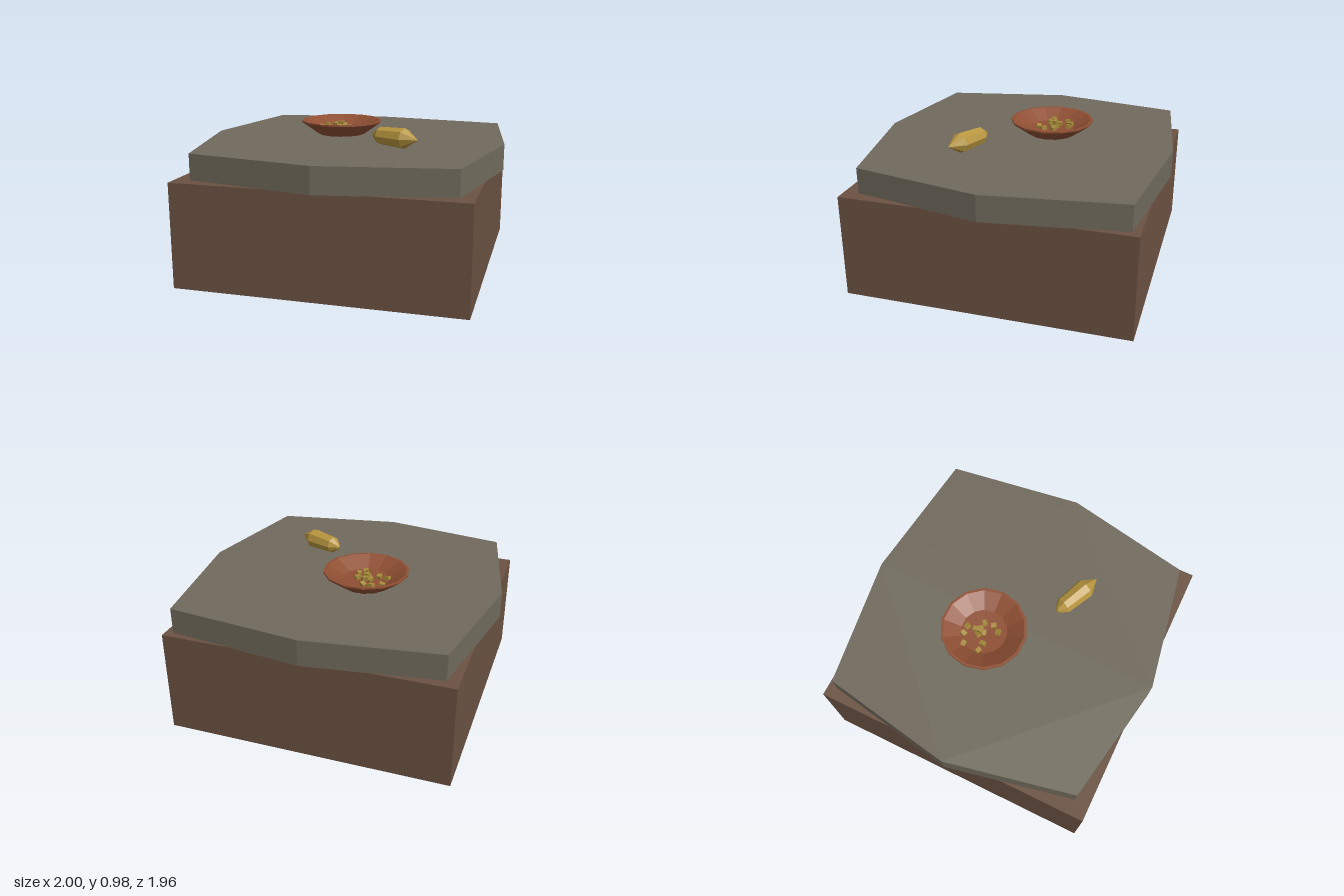
import * as THREE from 'three';

const material = (name, color) => {
  const m = new THREE.MeshStandardMaterial({ color });
  m.name = name;
  return m;
};

// Split the faces so each one gets its own flat normal
function flat(geometry) {
  const g = geometry.index ? geometry.toNonIndexed() : geometry;
  g.computeVertexNormals();
  return g;
}

function part(parent, name, geometry, mat, position = [0, 0, 0]) {
  const mesh = new THREE.Mesh(flat(geometry), mat);
  mesh.name = name;
  mesh.position.set(...position);
  parent.add(mesh);
  return mesh;
}

const lathe = (points, sides) =>
  new THREE.LatheGeometry(points.map(([r, y]) => new THREE.Vector2(r, y)), sides);

export function createModel() {
  const model = new THREE.Group();
  model.name = 'stoneTable';

  const earth = material('brown earth', 0x6b5242);
  const stone = material('grey stone', 0x706a5c);
  const clay = material('red clay', 0x8f4f33);
  const gold = material('golden husk', 0xb8963f);
  const grain = material('dull grain', 0xa68a3a);

  // Square plinth
  part(model, 'base', new THREE.BoxGeometry(1.85, 0.678, 1.85), earth, [0, 0.339, 0]);

  // Irregular eight-sided slab, outline given as x, z
  const outline = [
    [-1, 0], [-0.825, 0.83], [0, 0.975], [0.835, 0.83],
    [1, 0], [0.875, -0.875], [0, -0.98], [-0.85, -0.86],
  ];
  const shape = new THREE.Shape(outline.map(([x, z]) => new THREE.Vector2(x, -z)));
  const slab = new THREE.ExtrudeGeometry(shape, { depth: 0.17, bevelEnabled: false });
  slab.rotateX(-Math.PI / 2);
  part(model, 'slab', slab, stone, [0, 0.675, 0]);

  // Shallow bowl: outer wall, lip, inner wall and floor
  const bowl = new THREE.Group();
  bowl.name = 'bowl';
  bowl.position.set(-0.14, 0.845, -0.14);
  model.add(bowl);
  const bowlShell = lathe([
    [0, 0], [0.16, 0], [0.278, 0.085], [0.278, 0.095],
    [0.262, 0.095], [0.15, 0.035], [0, 0.028],
  ], 14);
  bowlShell.rotateY(Math.PI / 2);
  part(bowl, 'bowlShell', bowlShell, clay);

  // Seeds scattered round a small heap: x, y, z in the bowl
  const seeds = [
    [-0.13, 0.045, -0.08], [-0.07, 0.045, -0.11], [-0.015, 0.045, -0.11],
    [0.05, 0.045, -0.02], [0.06, 0.045, 0.04], [0.03, 0.045, 0.085],
    [-0.08, 0.045, 0.03], [-0.135, 0.045, 0.025],
    [-0.035, 0.045, -0.025], [0.005, 0.045, -0.03], [-0.015, 0.05, 0.005],
    [-0.015, 0.06, -0.05], [-0.01, 0.07, -0.02],
  ];
  seeds.forEach((position, i) => {
    const seed = part(bowl, 'seed', new THREE.BoxGeometry(0.036, 0.024, 0.03), grain, position);
    seed.rotation.set(0.25 * Math.sin(i * 2.1), i * 1.3, 0.25 * Math.cos(i * 1.7));
  });

  // Faceted pod lying on the slab, blunt at one end and pointed at the other
  const pod = lathe([[0, 0], [0.02, 0.012], [0.056, 0.06], [0.066, 0.25], [0, 0.353]], 8);
  pod.rotateZ(-Math.PI / 2);
  pod.rotateY(-0.41);
  part(model, 'pod', pod, gold, [0.177, 0.909, 0.222]);

  return model;
}
